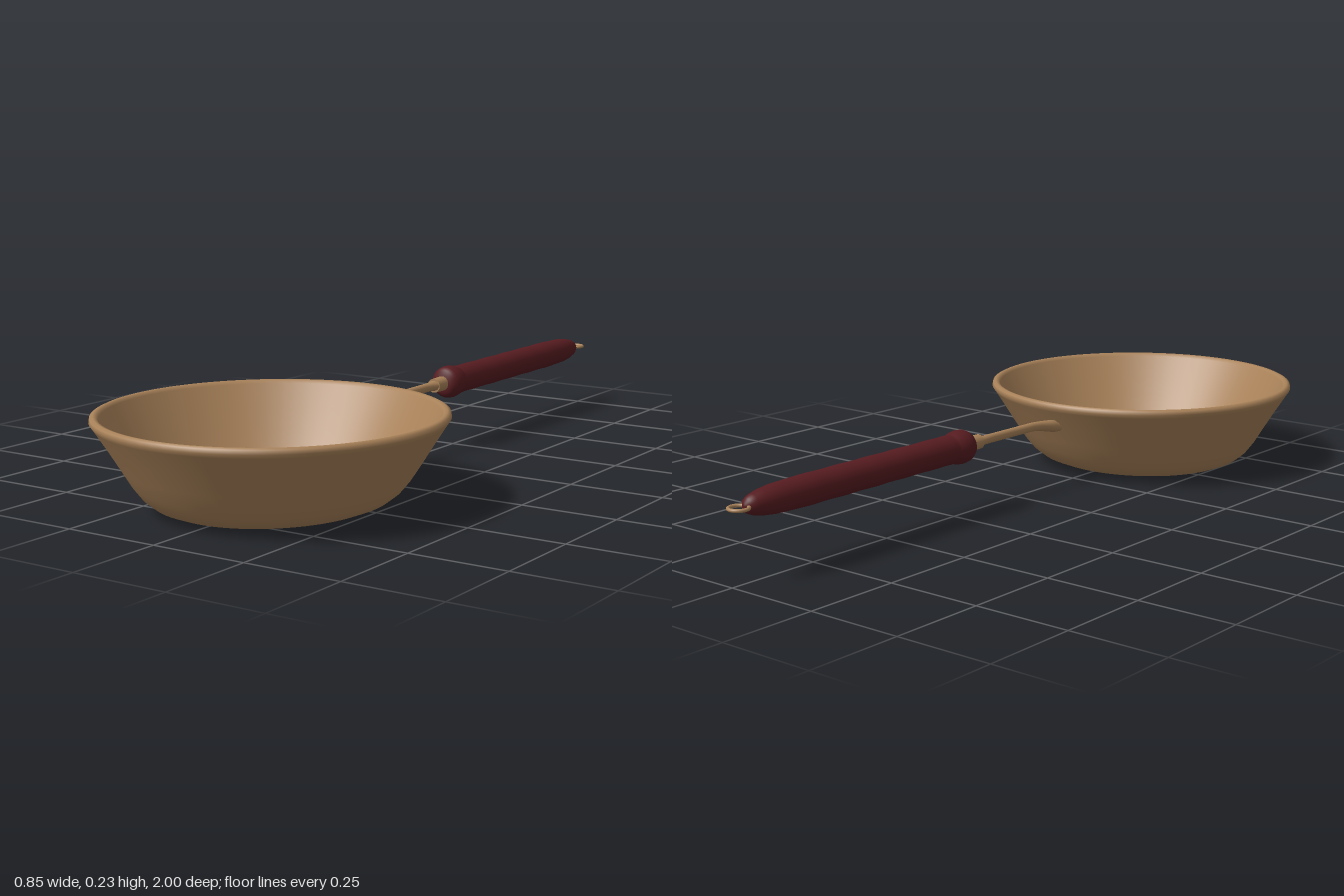
import * as THREE from 'three';

const copper = new THREE.MeshStandardMaterial({ color: 0xa98259 });
copper.name = 'warm copper';
const wood = new THREE.MeshStandardMaterial({ color: 0x571c20 });
wood.name = 'dark red wood';

const HANDLE_Y = 0.18;
const toPoints = (list) => list.map(([x, y]) => new THREE.Vector2(x, y));

function part(name, geometry, material) {
  const mesh = new THREE.Mesh(geometry, material);
  mesh.name = name;
  return mesh;
}

// Skin over elliptical sections [z, centreY, radiusX, radiusY], listed from +z to -z
function loft(sections, sides = 20) {
  const positions = [];
  const index = [];
  const row = sides + 1;
  sections.forEach(([z, cy, rx, ry], i) => {
    for (let j = 0; j < row; j++) {
      const a = ((j % sides) / sides) * Math.PI * 2;
      positions.push(Math.cos(a) * rx, cy + Math.sin(a) * ry, z);
      if (i && j) {
        const d = i * row + j;
        const c = d - 1;
        const b = d - row;
        index.push(b - 1, c, b, c, d, b);
      }
    }
  });
  const g = new THREE.BufferGeometry();
  g.setAttribute('position', new THREE.Float32BufferAttribute(positions, 3));
  g.setIndex(index);
  g.computeVertexNormals();
  return g;
}

// Hollow bowl: outer wall up, over the rolled rim, inner wall down
function bowlGeometry() {
  const g = new THREE.LatheGeometry(toPoints([
    [0, 0.006], [0.12, 0.006], [0.22, 0.006], [0.255, 0.01], [0.285, 0.022], [0.31, 0.042],
    [0.332, 0.07], [0.355, 0.107], [0.385, 0.156], [0.418, 0.208],
    [0.425, 0.218], [0.423, 0.228], [0.415, 0.232], [0.407, 0.23], [0.403, 0.223],
    [0.373, 0.17], [0.343, 0.12], [0.315, 0.075], [0.297, 0.05], [0.275, 0.032],
    [0.245, 0.022], [0.2, 0.019], [0.1, 0.018], [0, 0.018],
  ]), 80);
  // Slightly uneven, hand-beaten base
  const p = g.attributes.position;
  for (let i = 0; i < p.count; i++) {
    const x = p.getX(i), y = p.getY(i), z = p.getZ(i);
    const low = Math.max(0, 1 - y / 0.12);
    p.setY(i, y + low * (0.018 * x - 0.01 * z));
  }
  g.scale(1, 1, 1.01);
  g.translate(0, 0, 0.57);
  return g;
}

// Turned grip, measured as [radius, distance behind the origin]
function gripGeometry() {
  const profile = [
    [0, 0.192], [0.025, 0.193], [0.036, 0.2], [0.042, 0.212], [0.044, 0.228],
    [0.042, 0.246], [0.038, 0.258], [0.036, 0.265], [0.038, 0.275],
  ];
  // Faintly rippled straight length
  for (let d = 0.3; d < 0.82; d += 0.025) {
    profile.push([0.0375 + 0.0006 * Math.sin(d * 60), d]);
  }
  profile.push([0.036, 0.84], [0.035, 0.87], [0.031, 0.905], [0.025, 0.932],
    [0.018, 0.948], [0.008, 0.955], [0, 0.956]);
  const g = new THREE.LatheGeometry(toPoints(profile), 32);
  g.rotateX(-Math.PI / 2);
  g.translate(0, HANDLE_Y, 0);
  return g;
}

export function createModel() {
  const model = new THREE.Group();
  model.name = 'fryingPan';

  model.add(part('bowl', bowlGeometry(), copper));

  // Rod with a leaf-shaped foot against the bowl
  model.add(part('handleRod', loft([
    [0.19, 0.157, 0.006, 0.004], [0.18, 0.16, 0.016, 0.012], [0.16, 0.166, 0.018, 0.017],
    [0.13, 0.171, 0.015, 0.015], [0.1, 0.176, 0.012, 0.013], [0.07, 0.179, 0.01, 0.012],
    [-0.1, HANDLE_Y, 0.01, 0.012], [-0.13, HANDLE_Y, 0.012, 0.012],
    [-0.155, HANDLE_Y, 0.018, 0.014],
  ]), copper));

  // Socket where the rod enters the grip
  const socket = new THREE.CylinderGeometry(0.02, 0.019, 0.05, 24);
  socket.rotateX(-Math.PI / 2);
  socket.translate(0, HANDLE_Y, -0.175);
  model.add(part('socket', socket, copper));

  model.add(part('grip', gripGeometry(), wood));

  // Flat hanging loop
  const loop = new THREE.TorusGeometry(0.0235, 0.0045, 10, 32);
  loop.rotateX(Math.PI / 2);
  loop.translate(0, HANDLE_Y, -0.972);
  model.add(part('hangingLoop', loop, copper));

  return model;
}
